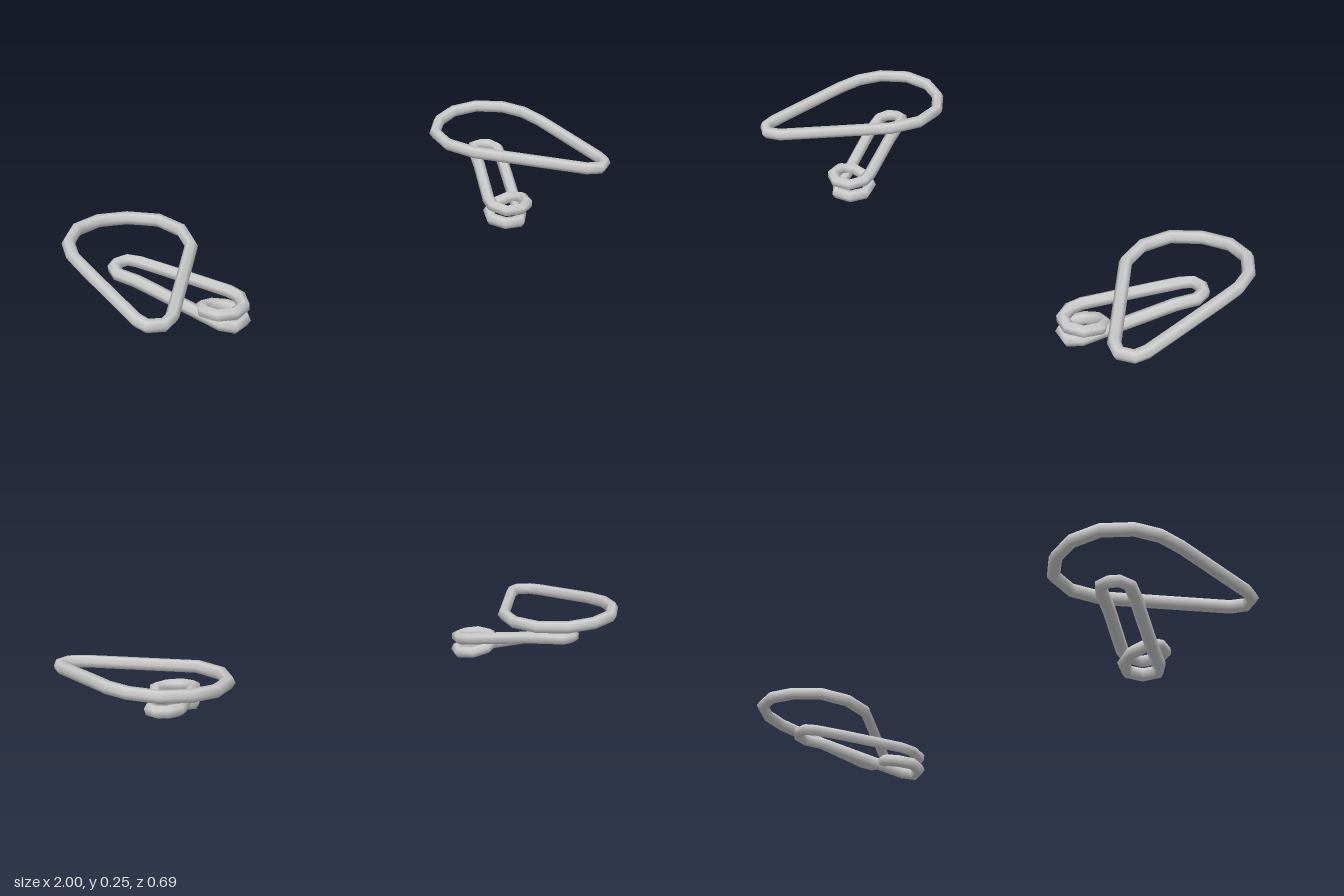
import * as THREE from 'three';

// Closed polyline whose samples fall exactly on its corner points
class WireLoop extends THREE.Curve {
  constructor(points) {
    super();
    this.points = points;
  }
  corner(i) {
    const n = this.points.length;
    return this.points[((i % n) + n) % n];
  }
  getPoint(t, target = new THREE.Vector3()) {
    const s = t * this.points.length;
    const i = Math.floor(s + 1e-6);
    return target.lerpVectors(this.corner(i), this.corner(i + 1), Math.max(0, s - i));
  }
  getPointAt(t, target) {
    return this.getPoint(t, target);
  }
  // Bisect the directions of the two adjoining straight pieces
  getTangentAt(t, target = new THREE.Vector3()) {
    const i = Math.round(t * this.points.length);
    const a = this.corner(i).clone().sub(this.corner(i - 1)).normalize();
    const b = this.corner(i + 1).clone().sub(this.corner(i)).normalize();
    return target.addVectors(a, b).normalize();
  }
}

const WIRE_RADIUS = 0.022;

// Wide drop-shaped loop, drawn on the +x side
const LOOP = [
  [0.98, 0.226, -0.05], [0.975, 0.233, -0.14], [0.945, 0.235, -0.225],
  [0.875, 0.232, -0.3], [0.78, 0.226, -0.325], [0.685, 0.218, -0.3],
  [0.606, 0.213, -0.23], [0.581, 0.209, -0.125], [0.613, 0.207, -0.015],
  [0.88, 0.183, 0.3], [0.925, 0.182, 0.325], [0.968, 0.183, 0.303],
  [0.979, 0.187, 0.262],
];

// Narrow pin: outer leg down to the coil, one and a half turns, inner leg back up
const PIN = [
  [0.795, 0.133, -0.181], [0.822, 0.131, -0.162], [0.829, 0.127, -0.122],
  [0.795, 0.117, -0.06], [0.685, 0.05, 0.135], [0.65, 0.029, 0.205],
  [0.618, 0.022, 0.235], [0.568, 0.022, 0.216], [0.547, 0.025, 0.165],
  [0.573, 0.032, 0.12], [0.62, 0.045, 0.103], [0.668, 0.061, 0.122],
  [0.687, 0.072, 0.17], [0.667, 0.073, 0.218], [0.618, 0.07, 0.236],
  [0.568, 0.071, 0.216], [0.549, 0.076, 0.165], [0.563, 0.085, 0.125],
  [0.682, 0.119, -0.06], [0.735, 0.131, -0.15], [0.76, 0.133, -0.181],
];

export function createModel() {
  const model = new THREE.Group();
  const metal = new THREE.MeshStandardMaterial({ color: 0xcccccc });
  metal.name = 'light grey metal';

  const addWire = (parent, name, points, side) => {
    const path = new WireLoop(points.map(([x, y, z]) => new THREE.Vector3(x * side, y, z)));
    const mesh = new THREE.Mesh(
      new THREE.TubeGeometry(path, points.length, WIRE_RADIUS, 6, true), metal);
    mesh.name = name;
    parent.add(mesh);
  };

  // Mirrored pair of wire clips
  for (const side of [1, -1]) {
    const clip = new THREE.Group();
    clip.name = side > 0 ? 'leftClip' : 'rightClip';
    addWire(clip, 'upperLoop', LOOP, side);
    addWire(clip, 'coiledPin', PIN, side);
    model.add(clip);
  }
  return model;
}
